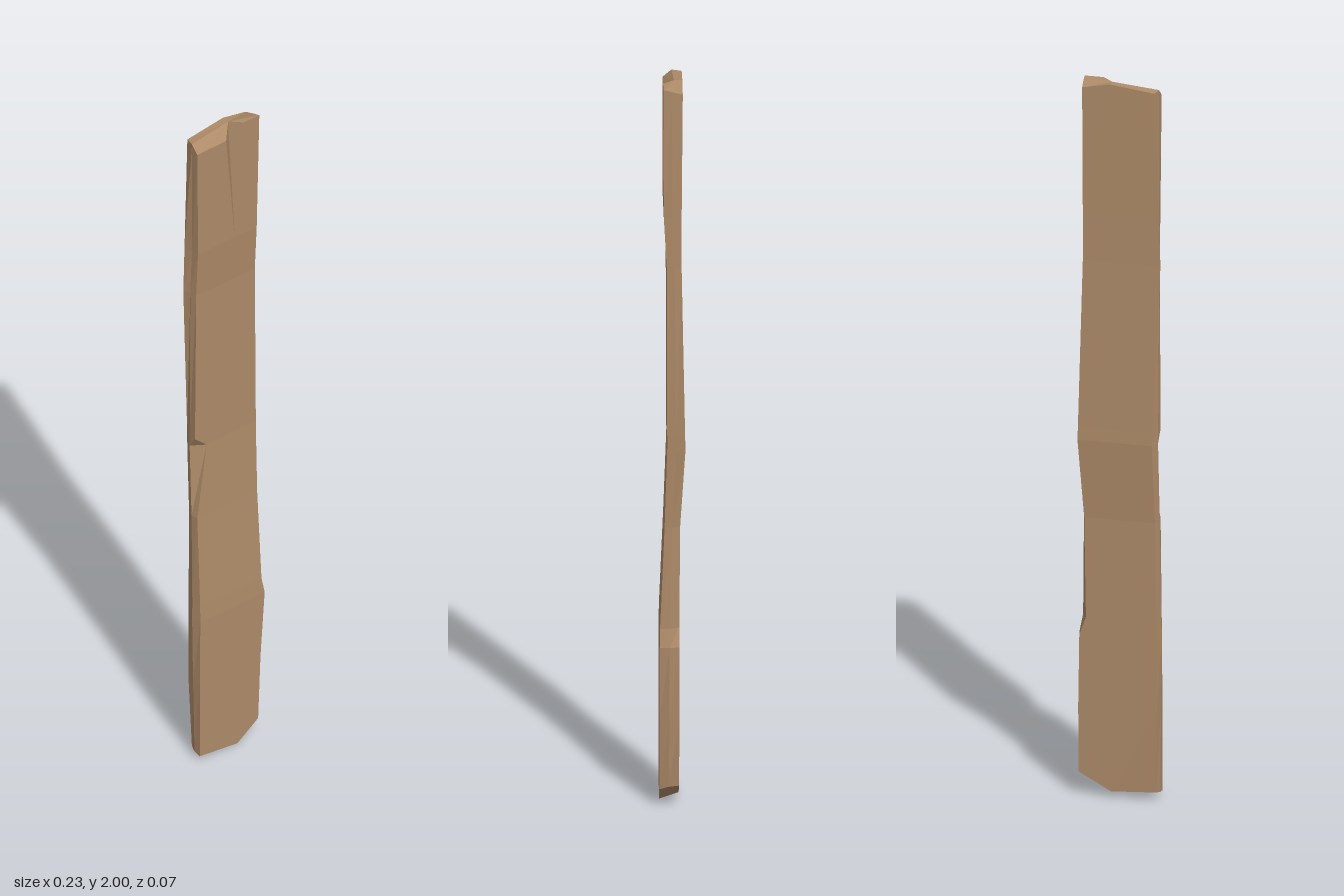
import * as THREE from 'three';

// Weathered plank, lofted from ten-point cross-sections.
// Loop order: front left, crack left, crack apex, crack right, front right,
// middle right, back right, back centre, back left, middle left.
const CRACK_X = 0.02;

// One interior section; the three crack points coincide where the wood is whole.
function section([y, fl, fr, mr, br, bl, ml, zf, zb]) {
  const zm = (zf + zb) / 2;
  const c = [CRACK_X, y, zf];
  return [
    [fl, y, zf], c, c, c, [fr, y, zf],
    [mr, y, zm], [br, y, zb], [CRACK_X, y, zb], [bl, y, zb], [ml, y, zm],
  ];
}

function loft(rings) {
  const pos = [];
  const same = (p, q) => p.every((v, k) => v === q[k]);
  const tri = (a, b, c) => {
    if (!same(a, b) && !same(b, c) && !same(a, c)) pos.push(...a, ...b, ...c);
  };
  const n = rings[0].length;
  for (let r = 0; r < rings.length - 1; r++) {
    const lo = rings[r], hi = rings[r + 1];
    for (let i = 0; i < n; i++) {
      const j = (i + 1) % n;
      tri(lo[i], lo[j], hi[j]);
      tri(lo[i], hi[j], hi[i]);
    }
  }
  // End caps fan out from the crack apex
  const bottom = rings[0], top = rings[rings.length - 1];
  for (let i = 0; i < n; i++) {
    const j = (i + 1) % n;
    tri(top[2], top[i], top[j]);
    tri(bottom[2], bottom[j], bottom[i]);
  }
  const geo = new THREE.BufferGeometry();
  geo.setAttribute('position', new THREE.Float32BufferAttribute(pos, 3));
  geo.computeVertexNormals();
  return geo;
}

export function createModel() {
  const wood = new THREE.MeshStandardMaterial({ color: 0xae8b69 });
  wood.name = 'weathered wood';

  // Broken lower end with a chipped right corner
  const foot = [CRACK_X, 0, 0.034];
  const bottom = [
    [-0.107, 0.015, 0.034], foot, foot, foot, [0.09, 0.05, 0.034],
    [0.1, 0.06, 0.01], [0.108, 0.066, -0.017], [CRACK_X, 0.018, -0.017],
    [-0.1, 0.022, -0.008], [-0.107, 0.018, 0.012],
  ];

  // y, front left, front right, middle right, back right, back left, middle left, front z, back z
  const middle = [
    [0.25, -0.107, 0.098, 0.105, 0.109, -0.104, -0.109, 0.034, -0.018],
    [0.45, -0.105, 0.112, 0.112, 0.106, -0.104, -0.112, 0.034, -0.018],
    [0.5, -0.105, 0.102, 0.102, 0.088, -0.103, -0.111, 0.033, -0.018],
    [0.78, -0.105, 0.097, 0.098, 0.092, -0.1, -0.108, 0.021, -0.02],
    [1.0, -0.068, 0.098, 0.102, 0.107, -0.095, -0.106, 0.014, -0.034],
    [1.035, -0.107, 0.098, 0.102, 0.106, -0.096, -0.106, 0.014, -0.033],
    [1.5, -0.104, 0.094, 0.095, 0.095, -0.116, -0.108, 0.015, -0.024],
    [1.64, -0.104, 0.094, 0.095, 0.095, -0.112, -0.106, 0.023, -0.024],
  ].map(section);

  // Upper end: split front and sloping left chip
  const top = [
    [-0.107, 1.965, 0.024], [-0.01, 1.967, 0.024], [CRACK_X, 2, -0.005],
    [0.05, 2, 0.024], [0.102, 2, 0.024], [0.1, 1.993, 0],
    [0.096, 1.985, -0.027], [CRACK_X, 2, -0.027], [-0.1, 1.984, -0.027],
    [-0.106, 1.986, 0],
  ];

  const plank = new THREE.Mesh(loft([bottom, ...middle, top]), wood);
  plank.name = 'plank';
  const group = new THREE.Group();
  group.name = 'woodenPlank';
  group.add(plank);
  return group;
}
